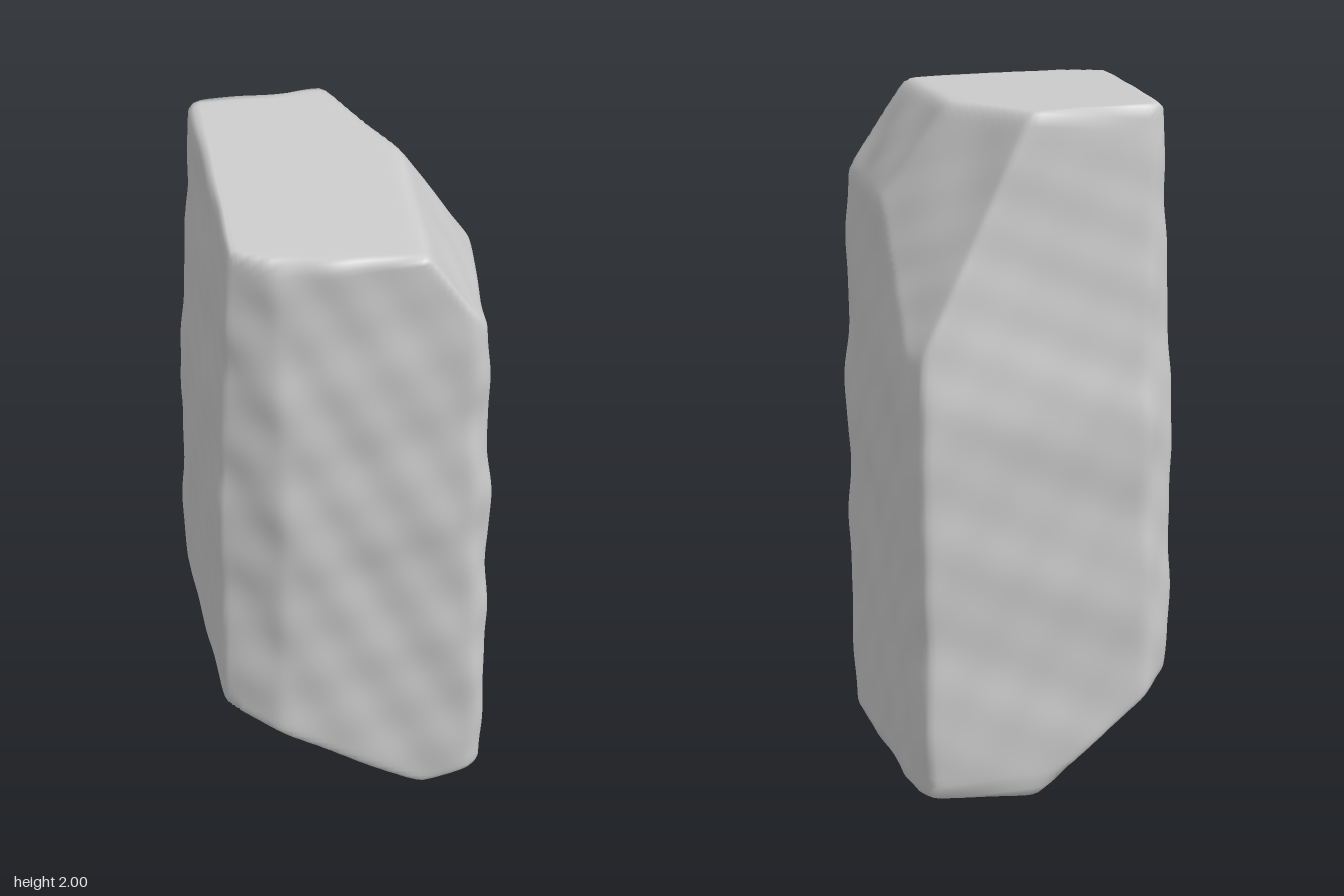
import * as THREE from 'three';
import { mergeVertices } from 'three/addons/utils/BufferGeometryUtils.js';

const V = (x, y, z) => new THREE.Vector3(x, y, z);
const CENTRE = V(0, 1, 0);

// A cutting plane through three points, facing away from the stone's centre
function cut(a, b, c) {
  const plane = new THREE.Plane().setFromCoplanarPoints(a, b, c);
  if (plane.distanceToPoint(CENTRE) > 0) plane.negate();
  return { n: plane.normal, d: -plane.distanceToPoint(CENTRE) };
}

// Walls: plan outline at the waist, and how far each wall leans in at top and bottom
const WAIST = 1.1;
const walls = [
  { x: 0.345, z: 0.462, top: 0.02, bottom: 0.02 },    // front
  { x: -0.2, z: 0.438, top: 0.005, bottom: 0.012 },   // front left bevel
  { x: -0.383, z: 0.345, top: 0.024, bottom: 0.03 },  // left
  { x: -0.41, z: -0.35, top: 0.03, bottom: 0.02 },    // back left corner
  { x: -0.32, z: -0.433, top: 0.072, bottom: 0.02 },  // back
  { x: 0.345, z: -0.466, top: 0.03, bottom: 0.03 },   // back right corner
  { x: 0.395, z: -0.39, top: 0.01, bottom: 0.035 },   // right
  { x: 0.402, z: 0.42, top: 0.01, bottom: 0.02 },     // front right corner
];

const cuts = [
  // top, right shoulder and broken back corner
  cut(V(-0.37, 2.0, -0.36), V(0.2, 1.953, 0.42), V(-0.35, 1.968, 0.35)),
  cut(V(0.225, 1.95, 0.42), V(0.215, 1.95, -0.08), V(0.395, 1.69, 0.43)),
  cut(V(0.205, 1.95, -0.095), V(0.02, 1.965, -0.38), V(0.385, 1.22, -0.45)),
  // base, its raised right edge and the two slanted breaks under the left side
  cut(V(0, 0, -0.42), V(0.35, 0, -0.42), V(0.2, 0.06, 0.43)),
  cut(V(0.21, 0.065, 0.43), V(0.365, 0.13, 0.43), V(0.345, 0.005, -0.42)),
  cut(V(-0.4, 0.355, -0.4), V(0, 0, -0.42), V(-0.34, 0.33, 0.36)),
  cut(V(0.2, 0.065, 0.43), V(-0.34, 0.33, 0.36), V(0, 0.01, -0.3)),
];

// each wall is bowed: one plane above the waist and one below
walls.forEach((wall, i) => {
  const next = walls[(i + 1) % walls.length];
  const a = V(wall.x, WAIST, wall.z);
  const b = V(next.x, WAIST, next.z);
  const inward = V(a.z - b.z, 0, b.x - a.x).normalize();
  const middle = a.clone().lerp(b, 0.5);
  if (inward.dot(middle) > 0) inward.negate();
  for (const [y, lean] of [[1.95, wall.top], [0.1, wall.bottom]]) {
    cuts.push(cut(a, b, middle.clone().setY(y).addScaledVector(inward, lean)));
  }
});

// Broad shallow hollows (negative) and swellings (positive) on the faces
const dents = [
  { at: V(0.05, 1.5, -0.42), r: 0.25, push: -0.012 },
  { at: V(0.4, 1.15, 0), r: 0.2, push: 0.008 },
  { at: V(-0.2, 0.62, 0.44), r: 0.16, push: -0.01 },
  { at: V(0.1, 0.8, 0.45), r: 0.15, push: -0.006 },
  { at: V(-0.38, 1.72, -0.1), r: 0.2, push: -0.008 },
];

// Gentle irregular waviness
const wave = (x, y, z) =>
  Math.sin(7 * x + 9 * y + 5 * z + 1) * Math.sin(12 * z - 5 * y + 9 * x) +
  Math.sin(14 * y - 11 * z + 13 * x + 2) * Math.sin(19 * x + 6 * z + 3 * y + 4) +
  0.6 * Math.sin(23 * y + 9 * x + 1) * Math.sin(25 * z - 21 * x + 8 * y);

function stoneGeometry() {
  let geo = new THREE.BoxGeometry(0.8, 1.96, 0.9, 44, 90, 44);
  geo.deleteAttribute('uv');
  geo.deleteAttribute('normal');
  geo = mergeVertices(geo);
  const pos = geo.attributes.position;
  const p = V(0, 0, 0);
  const SHARP = 110;
  for (let i = 0; i < pos.count; i++) {
    // pull each point radially onto the nearest cut, with softened edges
    p.fromBufferAttribute(pos, i);
    let sum = 0;
    for (const { n, d } of cuts) sum += Math.pow(Math.max(0, n.dot(p) / d), SHARP);
    p.multiplyScalar(Math.pow(sum, -1 / SHARP)).add(CENTRE);
    // roughen sideways only, so the top and base stay put
    let w = 0.004 * wave(p.x, p.y, p.z);
    for (const { at, r, push } of dents) w += push * Math.exp(-p.distanceToSquared(at) / (r * r));
    const grow = 1 + w / 0.43;
    pos.setXYZ(i, p.x * grow, p.y, p.z * grow);
  }
  // rest the stone exactly on the ground
  geo.computeBoundingBox();
  geo.translate(0, -geo.boundingBox.min.y, 0);
  geo.computeVertexNormals();
  return geo;
}

export function createModel() {
  const group = new THREE.Group();
  group.name = 'standingStone';
  const stone = new THREE.MeshStandardMaterial({ color: 0xcccccc });
  stone.name = 'pale grey stone';
  const block = new THREE.Mesh(stoneGeometry(), stone);
  block.name = 'stoneBlock';
  group.add(block);
  return group;
}
